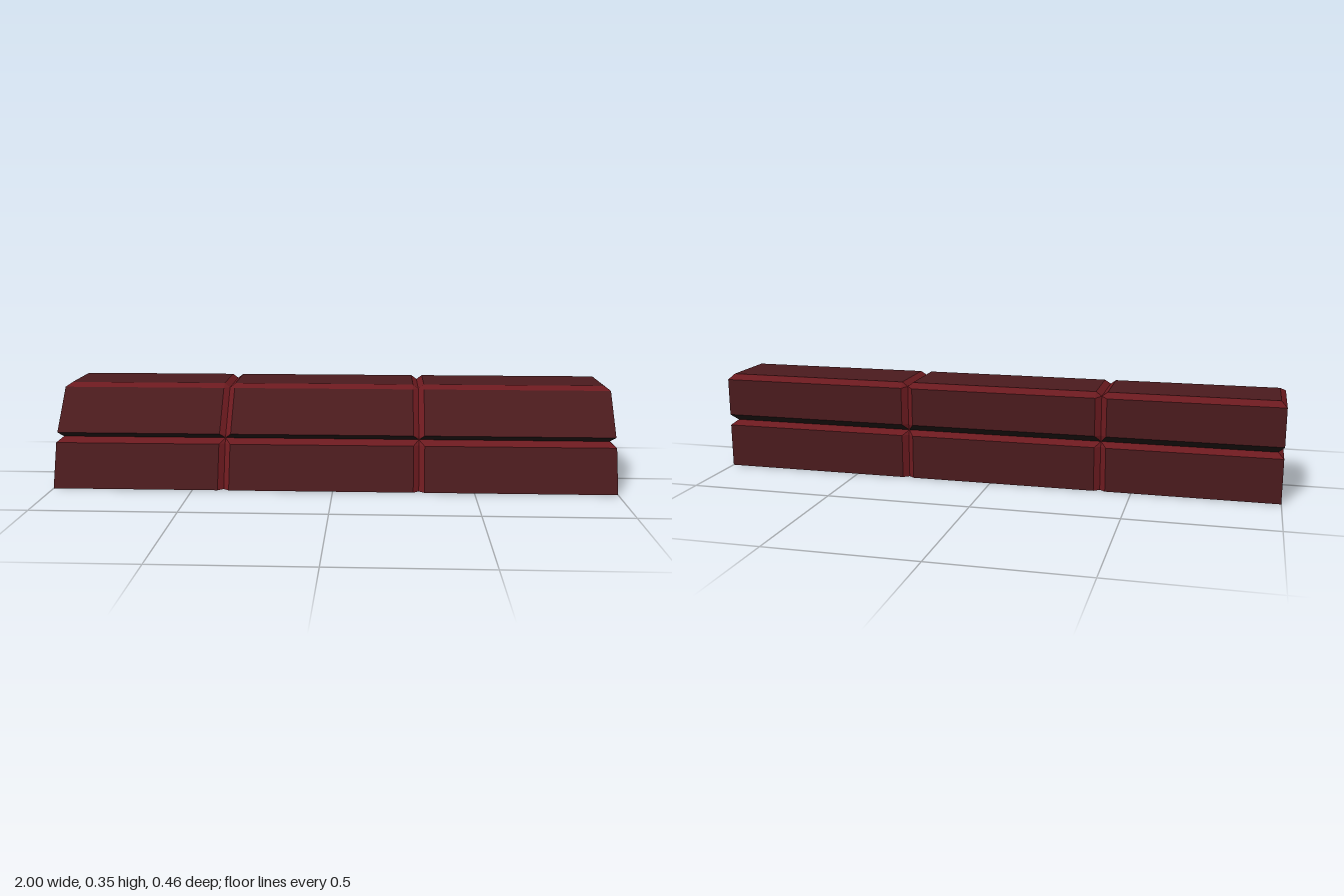
import * as THREE from 'three';
import { ConvexGeometry } from 'three/addons/geometries/ConvexGeometry.js';

const materials = {
  face: new THREE.MeshStandardMaterial({ color: 0x4a1a1d }),
  bevel: new THREE.MeshStandardMaterial({ color: 0x6c1a1f }),
  underside: new THREE.MeshStandardMaterial({ color: 0x1c1413 }),
};

const GROOVES = [-0.39, 0.305]; // x of the vertical joints
const BEVEL = 0.02;

// Cross-sections as [z, y]: full body, flat outer end, and bottom of a joint
const LAYERS = {
  lowerCourse: {
    full: [[0.229, 0], [0.172, 0.155], [0.14, 0.172], [-0.205, 0.172], [-0.229, 0.155], [-0.229, 0]],
    end: [[0.229, 0], [0.172, 0.155], [-0.229, 0.155], [-0.229, 0]],
    joint: [[0.211, 0], [0.155, 0.155], [0.14, 0.172], [-0.205, 0.172], [-0.213, 0.155], [-0.213, 0]],
  },
  upperCourse: {
    full: [[0.14, 0.172], [0.153, 0.188], [0.027, 0.334], [0, 0.348],
      [-0.213, 0.348], [-0.229, 0.328], [-0.229, 0.195], [-0.205, 0.172]],
    end: [[0.153, 0.188], [0.027, 0.334], [-0.229, 0.328], [-0.229, 0.195]],
    joint: [[0.14, 0.172], [0.137, 0.182], [0.008, 0.333], [-0.213, 0.333], [-0.213, 0.195], [-0.205, 0.172]],
  },
};

// Which finish a triangle takes, from the way it faces
function finishOf(n) {
  if (Math.max(Math.abs(n.x), Math.abs(n.y), Math.abs(n.z)) > 0.99) return 'face';
  if (n.y < -0.3) return 'underside';
  if (Math.abs(n.x) < 0.05 && n.z > 0.7) return 'face';
  return 'bevel';
}

// One bevelled block between two x positions
function makeBlock(layer, x0, x1, name) {
  const points = [];
  const addSection = (x, section) =>
    section.forEach(([z, y]) => points.push(new THREE.Vector3(x, y, z)));
  for (const [x, inward] of [[x0, 1], [x1, -1]]) {
    addSection(x, Math.abs(x) === 1 ? layer.end : layer.joint);
    addSection(x + inward * BEVEL, layer.full);
  }
  const hull = new ConvexGeometry(points);
  const pos = hull.attributes.position;
  const nor = hull.attributes.normal;

  // Split the hull by finish
  const parts = { face: [], bevel: [], underside: [] };
  const n = new THREE.Vector3();
  for (let i = 0; i < pos.count; i += 3) {
    const list = parts[finishOf(n.fromBufferAttribute(nor, i))];
    for (let k = i; k < i + 3; k++) list.push(pos.getX(k), pos.getY(k), pos.getZ(k));
  }
  const block = new THREE.Group();
  block.name = name;
  for (const [finish, list] of Object.entries(parts)) {
    if (!list.length) continue;
    const geometry = new THREE.BufferGeometry();
    geometry.setAttribute('position', new THREE.Float32BufferAttribute(list, 3));
    geometry.computeVertexNormals();
    const mesh = new THREE.Mesh(geometry, materials[finish]);
    mesh.name = finish;
    block.add(mesh);
  }
  return block;
}

export function createModel() {
  const model = new THREE.Group();
  model.name = 'blockWall';
  const stops = [-1, ...GROOVES, 1];
  for (const [name, layer] of Object.entries(LAYERS)) {
    const course = new THREE.Group();
    course.name = name;
    for (let i = 0; i < 3; i++) {
      course.add(makeBlock(layer, stops[i], stops[i + 1], `${name}Block${i + 1}`));
    }
    model.add(course);
  }
  return model;
}
